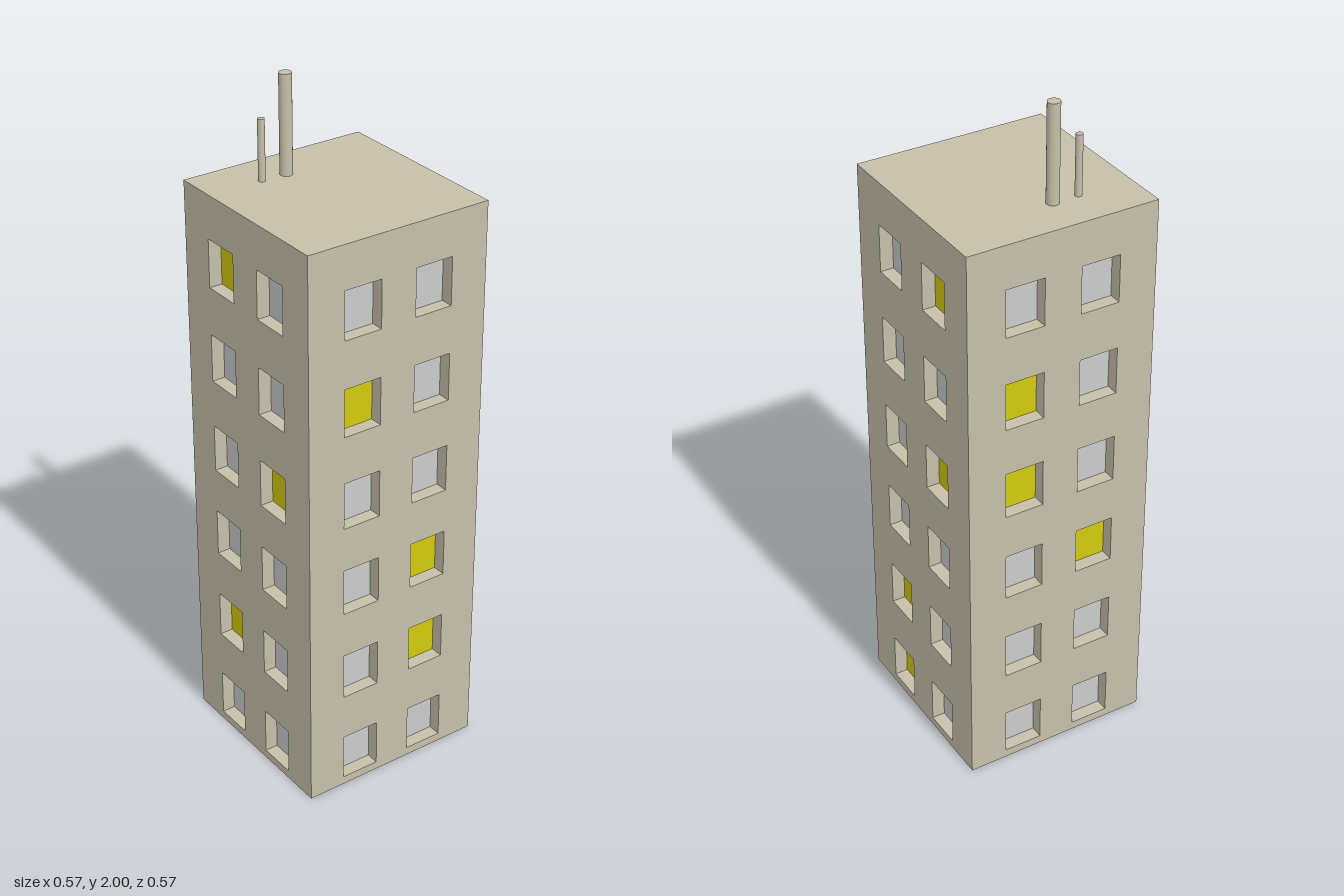
import * as THREE from 'three';

const HALF = 0.286, HEIGHT = 1.714, RECESS = 0.04;
const WIN_W = 0.117, WIN_H = 0.143;
const COLUMNS = [-0.114, 0.114];
const SILLS = [0.025, 0.31, 0.594, 0.872, 1.157, 1.442];

// Each facade: its turn about y and its lit windows as 'column,row'
const FACADES = [
  { name: 'front', turn: 0, lit: ['0,5', '1,3', '0,1'] },
  { name: 'right', turn: Math.PI / 2, lit: ['0,4', '1,2', '1,1'] },
  { name: 'back', turn: Math.PI, lit: ['1,5', '1,3', '0,1', '0,0'] },
  { name: 'left', turn: -Math.PI / 2, lit: ['0,4', '0,3', '1,2'] },
];

function rectangle(target, x0, y0, x1, y1) {
  target.moveTo(x0, y0);
  target.lineTo(x1, y0);
  target.lineTo(x1, y1);
  target.lineTo(x0, y1);
  target.closePath();
  return target;
}

export function createModel() {
  const model = new THREE.Group();
  model.name = 'towerBlock';
  const wallMat = new THREE.MeshStandardMaterial({ color: 0xc6c0aa });
  const glassMat = new THREE.MeshStandardMaterial({ color: 0xcccccc });
  const litMat = new THREE.MeshStandardMaterial({ color: 0xd3ca10 });

  const add = (parent, name, geometry, material, x, y, z) => {
    const mesh = new THREE.Mesh(geometry, material);
    mesh.name = name;
    mesh.position.set(x, y, z);
    parent.add(mesh);
  };

  // Inner core closes the roof and the base
  const inner = HALF - RECESS;
  add(model, 'core', new THREE.BoxGeometry(inner * 2, HEIGHT, inner * 2), wallMat, 0, HEIGHT / 2, 0);

  // Wall panel with window openings; the four panels interlock around the core
  const wallShape = rectangle(new THREE.Shape(), -HALF, 0, inner, HEIGHT);
  for (const x of COLUMNS) {
    for (const y of SILLS) {
      wallShape.holes.push(rectangle(new THREE.Path(), x - WIN_W / 2, y, x + WIN_W / 2, y + WIN_H));
    }
  }
  const wallGeo = new THREE.ExtrudeGeometry(wallShape, { depth: RECESS, bevelEnabled: false });
  const paneGeo = new THREE.PlaneGeometry(WIN_W, WIN_H);

  for (const { name, turn, lit } of FACADES) {
    const facade = new THREE.Group();
    facade.name = name + 'Facade';
    facade.rotation.y = turn;
    add(facade, name + 'Wall', wallGeo, wallMat, 0, 0, inner);

    // Window panes set back in the openings
    COLUMNS.forEach((x, column) => SILLS.forEach((y, row) => {
      const isLit = lit.includes(`${column},${row}`);
      add(facade, isLit ? 'litWindow' : 'window', paneGeo, isLit ? litMat : glassMat,
        x, y + WIN_H / 2, inner + 0.001);
    }));
    model.add(facade);
  }

  // Rooftop masts
  const addMast = (name, radius, top, z) => {
    const h = top - HEIGHT;
    add(model, name, new THREE.CylinderGeometry(radius, radius, h, 32), wallMat, -0.16, HEIGHT + h / 2, z);
  };
  addMast('tallMast', 0.018, 2, 0.043);
  addMast('shortMast', 0.01, 1.89, 0.121);

  return model;
}
